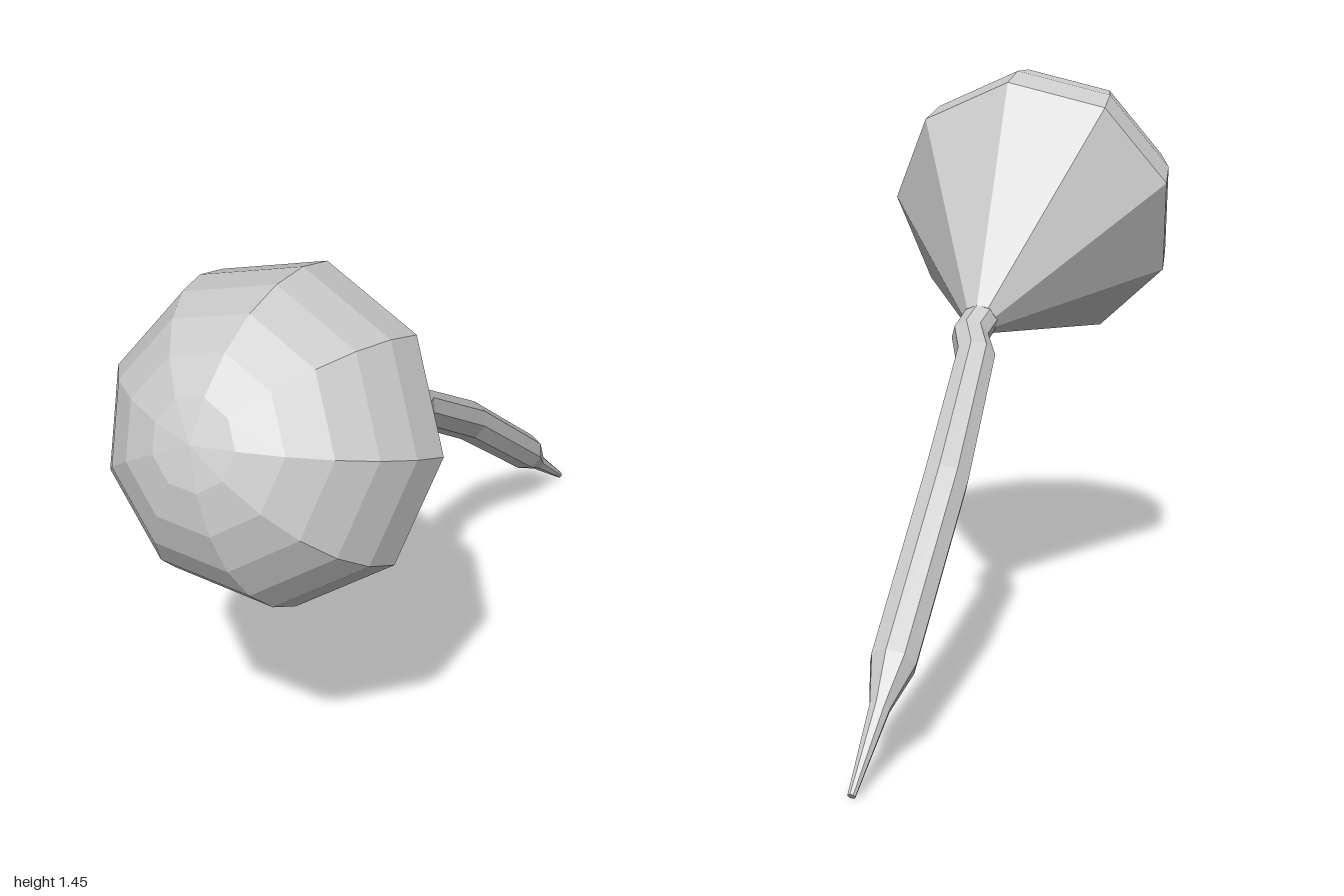
import * as THREE from 'three';

const V = (x, y, z) => new THREE.Vector3(x, y, z);
const REF = V(0.406, 0.915, 0); // first vertex of every ring points this way

// Faceted skin through rings { p: centre, r: radius, n: axis direction }
function loft(name, rings, sides, material) {
  const loops = rings.map(({ p, r, n }) => {
    const u = REF.clone().addScaledVector(n, -REF.dot(n)).normalize();
    const v = n.clone().cross(u);
    return Array.from({ length: sides }, (_, j) => {
      const a = (j / sides) * Math.PI * 2;
      return p.clone().addScaledVector(u, r * Math.cos(a)).addScaledVector(v, r * Math.sin(a));
    });
  });
  const pos = [];
  const tri = (...pts) => pts.forEach((q) => pos.push(q.x, q.y, q.z));
  for (let i = 0; i < loops.length - 1; i++) {
    for (let j = 0; j < sides; j++) {
      const k = (j + 1) % sides;
      const [a, b, c, d] = [loops[i][j], loops[i][k], loops[i + 1][k], loops[i + 1][j]];
      if (rings[i].r > 0) tri(a, b, rings[i + 1].r > 0 ? c : d);
      if (rings[i + 1].r > 0) tri(a, c, d);
    }
  }
  const geometry = new THREE.BufferGeometry();
  geometry.setAttribute('position', new THREE.Float32BufferAttribute(pos, 3));
  geometry.computeVertexNormals();
  const mesh = new THREE.Mesh(geometry, material);
  mesh.name = name;
  return mesh;
}

export function createModel() {
  const group = new THREE.Group();
  group.name = 'bulbWithTail';
  const material = new THREE.MeshStandardMaterial({ color: 0xcccccc, flatShading: true });

  // Bulb: nine-sided hemisphere, then a straight cone down to the neck
  const centre = V(-0.608, 1.064, 0);
  const neck = V(-0.1, 0.835, -0.1);
  const axis = neck.clone().sub(centre).normalize();
  const R = 0.389, bands = 6;
  const head = [];
  for (let i = 0; i <= bands; i++) {
    const t = (i / bands) * Math.PI / 2;
    head.push({
      p: centre.clone().addScaledVector(axis, -R * Math.cos(t)),
      r: R * Math.sin(t),
      n: axis,
    });
  }
  head.push({ p: neck, r: 0.043, n: axis }, { p: neck, r: 0, n: axis });
  group.add(loft('bulb', head, 9, material));

  // Tail: eight-sided bent tube that swells slightly and tapers to a point
  const path = [
    [-0.15, 0.845, -0.098, 0],
    [-0.15, 0.845, -0.098, 0.035],
    [-0.1, 0.833, -0.1, 0.045],
    [-0.03, 0.805, -0.108, 0.046],
    [0.045, 0.767, -0.162, 0.05],
    [0.38, 0.535, -0.26, 0.055],
    [0.76, 0.22, -0.338, 0.053],
    [0.835, 0.145, -0.348, 0.024],
    [0.992, 0.009, -0.372, 0.009],
    [0.992, 0.009, -0.372, 0],
  ];
  const at = (i) => V(...path[Math.min(Math.max(i, 0), path.length - 1)].slice(0, 3));
  const tail = path.map((s, i) => ({
    p: at(i),
    r: s[3],
    n: at(i + 1).sub(at(i - 1)).normalize(),
  }));
  tail[0].n = tail[1].n;
  group.add(loft('tail', tail, 8, material));
  return group;
}
